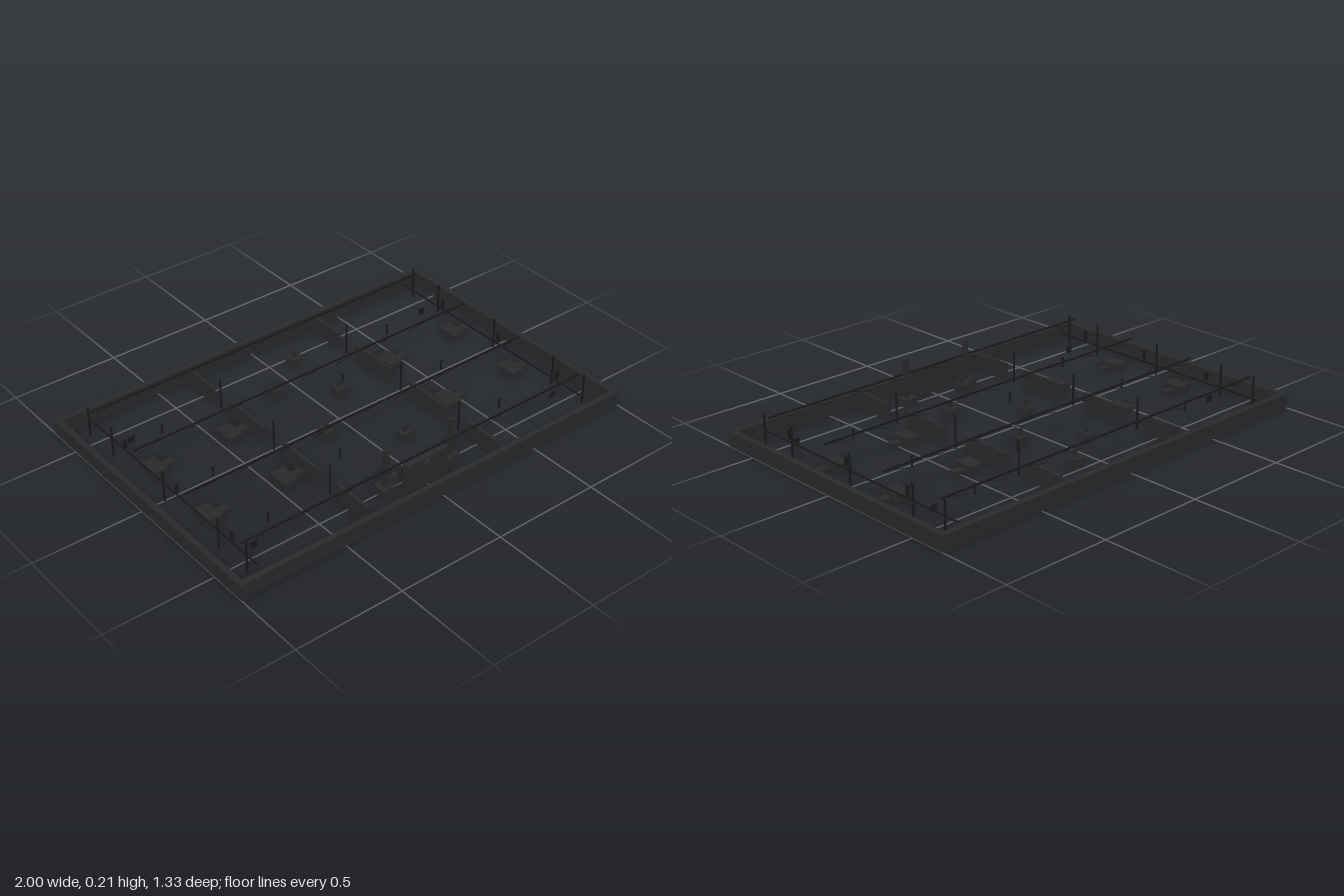
import * as THREE from 'three';

export function createModel() {
  const model = new THREE.Group();
  model.name = 'exhibitionHall';
  const charcoal = new THREE.MeshStandardMaterial({ color: 0x2a2a2a });
  charcoal.name = 'charcoal';
  const black = new THREE.MeshStandardMaterial({ color: 0x1a1a1a });
  black.name = 'soft black';

  // box resting at height y, centred on x and z
  function box(name, w, h, d, x, y, z, mat = charcoal) {
    const mesh = new THREE.Mesh(new THREE.BoxGeometry(w, h, d), mat);
    mesh.name = name;
    mesh.position.set(x, y + h / 2, z);
    model.add(mesh);
    return mesh;
  }

  // outer frame wall
  const outline = (w, d) => [[-w, -d], [w, -d], [w, d], [-w, d]].map(([x, y]) => new THREE.Vector2(x, y));
  const frame = new THREE.Shape(outline(1, 0.667));
  frame.holes.push(new THREE.Path(outline(0.973, 0.64)));
  const wallGeo = new THREE.ExtrudeGeometry(frame, { depth: 0.068, bevelEnabled: false });
  wallGeo.rotateX(-Math.PI / 2);
  const wall = new THREE.Mesh(wallGeo, charcoal);
  wall.name = 'outerWall';
  model.add(wall);

  // partitions either side of the central aisle
  for (const x of [-0.348, 0.343]) {
    for (const [z, len] of [[-0.522, 0.185], [-0.188, 0.242], [0.186, 0.242], [0.517, 0.185]]) {
      box('partition', 0.014, 0.08, len, x, 0, z);
    }
    for (const z of [-0.378, 0, 0.375]) box('aislePost', 0.006, 0.147, 0.007, x, 0, z, black);
  }

  // side rails with sign plates and tall corner posts
  for (const side of [-1, 1]) {
    const x = side * 0.868;
    box('sideRail', 0.006, 0.006, 1.195, x, 0.052, 0, black);
    for (const z of [-0.318, 0.055, 0.427]) box('signPlate', 0.01, 0.04, 0.012, x, 0.067, z, black);
    for (const z of [-0.56, -0.378, 0, 0.375, 0.56]) {
      box('sidePost', 0.007, 0.147, 0.007, side * 0.893, 0, z, black);
    }
  }

  // overhead cables with slanting strands below them
  for (const z of [-0.535, -0.202, 0.158, 0.532]) {
    box('overheadCable', 1.785, 0.007, 0.007, -0.002, 0.131, z, black);
    for (let i = 0; i < 9; i++) {
      const strand = box('cableStrand', 0.125, 0.002, 0.002, -0.81 + i * 0.203, 0.12, z, black);
      strand.rotation.z = 0.19;
    }
  }

  // desks with stools on the right of each
  for (const z of [-0.19, 0.197]) {
    for (const x of [-0.818, -0.444, 0.437, 0.813]) {
      box('desk', 0.068, 0.032, 0.098, x, 0, z);
      box('stool', 0.045, 0.018, 0.034, x + 0.068, 0, z);
    }
  }

  // staggered plinths down the aisle, each with a small display
  for (const [x, z] of [[0.105, -0.455], [-0.11, -0.31], [0.117, -0.15], [-0.123, 0.063], [0.13, 0.277], [-0.11, 0.463]]) {
    box('plinth', 0.052, 0.038, 0.052, x, 0, z);
    box('plinthDisplay', 0.018, 0.033, 0.012, x, 0.038, z);
    box('plinthArm', 0.014, 0.006, 0.006, x + 0.025, 0.038, z);
  }

  // entrance pillars on their bases
  for (const side of [-1, 1]) {
    box('pillarBase', 0.065, 0.036, 0.065, side * 0.173, 0, 0.505);
    box('entrancePillar', 0.02, 0.214, 0.02, side * 0.173, 0, 0.51);
  }

  // entrance panel with a round boss
  box('entrancePanel', 0.224, 0.135, 0.024, -0.002, 0, 0.556);
  const boss = new THREE.Mesh(new THREE.CylinderGeometry(0.018, 0.022, 0.012, 20), charcoal);
  boss.name = 'panelBoss';
  boss.rotation.x = Math.PI / 2;
  boss.position.set(0, 0.108, 0.573);
  model.add(boss);

  // slim floor markers
  const markers = [[-0.17, 0.215], [0.175, -0.195]];
  for (const x of [-0.65, 0.587]) for (const z of [-0.383, -0.01, 0.365]) markers.push([x, z]);
  for (const [x, z] of markers) {
    box('markerPost', 0.006, 0.045, 0.006, x, 0, z, black);
    box('markerHead', 0.016, 0.006, 0.005, x, 0.042, z, black);
  }
  for (const x of [-0.79, 0.81]) {
    for (const z of [-0.402, 0.463]) box('wallCard', 0.032, 0.03, 0.004, x, 0.01, z, black);
  }
  return model;
}
